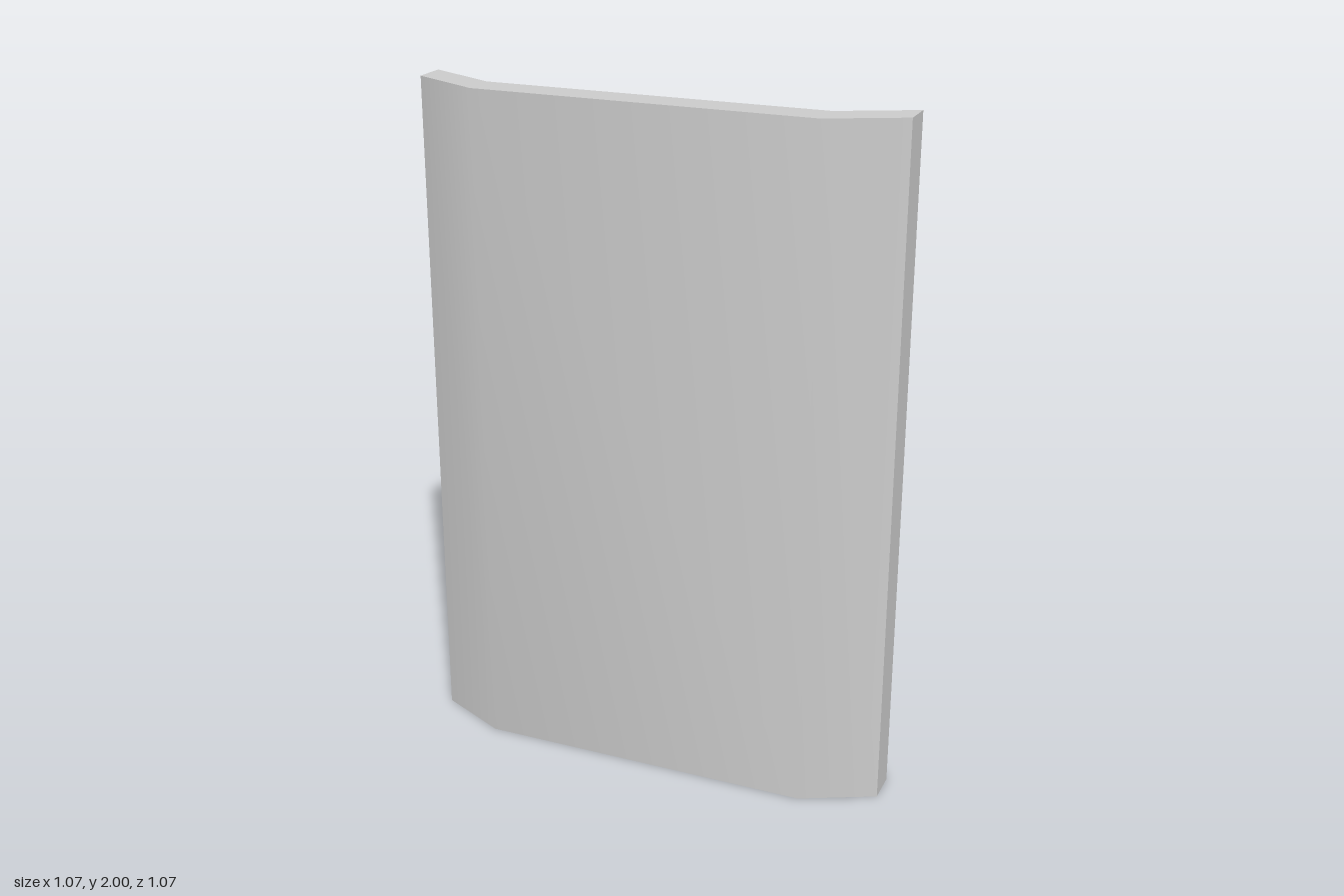
import * as THREE from 'three';
import { toCreasedNormals } from 'three/addons/utils/BufferGeometryUtils.js';

const HEIGHT = 2;

// One half of the plan outline as [x, z]; the other half mirrors it across the diagonal
const half = [[-0.46, -0.243], [-0.537, -0.463], [-0.467, -0.533], [-0.39, -0.313]];

export function createModel() {
  const group = new THREE.Group();
  group.name = 'bentPanel';

  const outline = [...half, ...half.map(([x, z]) => [-z, -x]).reverse()];
  const shape = new THREE.Shape(outline.map(([x, z]) => new THREE.Vector2(x, -z)));

  // Upright panel with two angled side flanges, softly shaded across the bends
  const geometry = new THREE.ExtrudeGeometry(shape, { depth: HEIGHT, bevelEnabled: false });
  geometry.rotateX(-Math.PI / 2);

  const panel = new THREE.Mesh(
    toCreasedNormals(geometry, Math.PI / 5),
    new THREE.MeshStandardMaterial({ color: 0xcccccc })
  );
  panel.name = 'panel';
  group.add(panel);
  return group;
}
